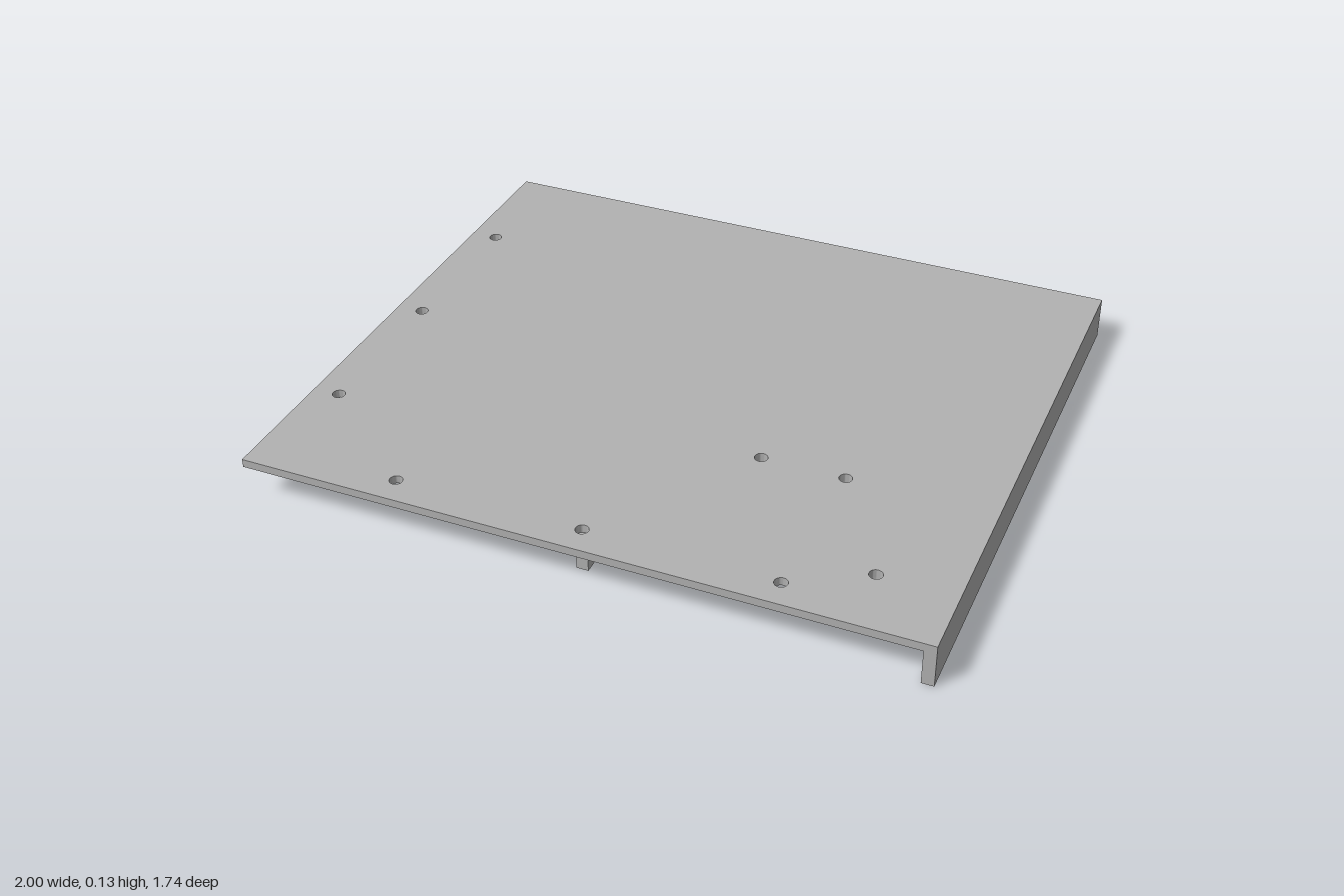
import * as THREE from 'three';
import { toCreasedNormals } from 'three/addons/utils/BufferGeometryUtils.js';

const HOLE = 0.019;
const PLATE_Y = 0.105, TOP_Y = 0.13, BOSS_Y = 0.043;
const WALL = 0.035;
const bosses = [[0.32, 0.308], [0.567, 0.308], [0.773, 0.665]];
const edgeHoles = [[-0.92, -0.49], [-0.92, 0], [-0.92, 0.49], [-0.56, 0.788], [0, 0.788], [0.56, 0.788]];

export function createModel() {
  const group = new THREE.Group();
  const grey = new THREE.MeshStandardMaterial({ color: 0xb2b2b2 });
  grey.name = 'plain grey';

  const add = (name, geometry) => {
    const mesh = new THREE.Mesh(geometry, grey);
    mesh.name = name;
    group.add(mesh);
    return mesh;
  };
  const circle = (T, x, z, r) => new T().absarc(x, -z, r, 0, Math.PI * 2, false);
  // Raises a plan outline (x, -z) from y0 to y1
  const raise = (name, shape, y0, y1) => {
    const g = new THREE.ExtrudeGeometry(shape, { depth: y1 - y0, bevelEnabled: false, curveSegments: 20 });
    g.rotateX(-Math.PI / 2).translate(0, y0, 0);
    return add(name, toCreasedNormals(g, 0.6));
  };
  const rect = (x0, x1, z0, z1) => new THREE.Shape()
    .moveTo(x0, -z1).lineTo(x1, -z1).lineTo(x1, -z0).lineTo(x0, -z0).closePath();

  // Drilled top plate
  const plate = rect(-1, 1, -0.87, 0.87);
  for (const [x, z] of [...edgeHoles, ...bosses]) plate.holes.push(circle(THREE.Path, x, z, HOLE));
  raise('topPlate', plate, PLATE_Y, TOP_Y);

  // Skirt along the left and back edges, joined in one corner
  const skirt = new THREE.Shape()
    .moveTo(1, -0.87).lineTo(1, 0.87).lineTo(-1, 0.87).lineTo(-1, 0.87 - WALL)
    .lineTo(1 - WALL, 0.87 - WALL).lineTo(1 - WALL, -0.87).closePath();
  raise('skirt', skirt, 0, PLATE_Y);

  // Crossing ribs under the plate
  raise('backRib', rect(-0.92, 0.915, -0.295, -0.26), 0, PLATE_Y);
  raise('middleRib', rect(-0.0175, 0.0175, -0.79, 0.795), 0, PLATE_Y);

  // Front rib, notched where two of the drilled holes pass
  const edge = 0.294;
  const frontRib = new THREE.Shape().moveTo(-0.92, -edge);
  for (const [x, z] of bosses.slice(0, 2)) {
    const a = Math.asin((z - edge) / HOLE);
    frontRib.lineTo(x - HOLE * Math.cos(a), -edge);
    frontRib.absarc(x, -z, HOLE, Math.PI - a, a, true);
  }
  frontRib.lineTo(0.915, -edge).lineTo(0.915, -0.26).lineTo(-0.92, -0.26).closePath();
  raise('frontRib', frontRib, 0, PLATE_Y);

  // Round bosses with a wider recess at the bottom of each hole
  for (const [x, z] of bosses) {
    const upper = circle(THREE.Shape, x, z, 0.082);
    upper.holes.push(circle(THREE.Path, x, z, HOLE));
    raise('boss', upper, BOSS_Y + 0.03, PLATE_Y);
    const lower = circle(THREE.Shape, x, z, 0.082);
    lower.holes.push(circle(THREE.Path, x, z, 0.033));
    raise('bossRecess', lower, BOSS_Y, BOSS_Y + 0.03);
  }
  return group;
}
